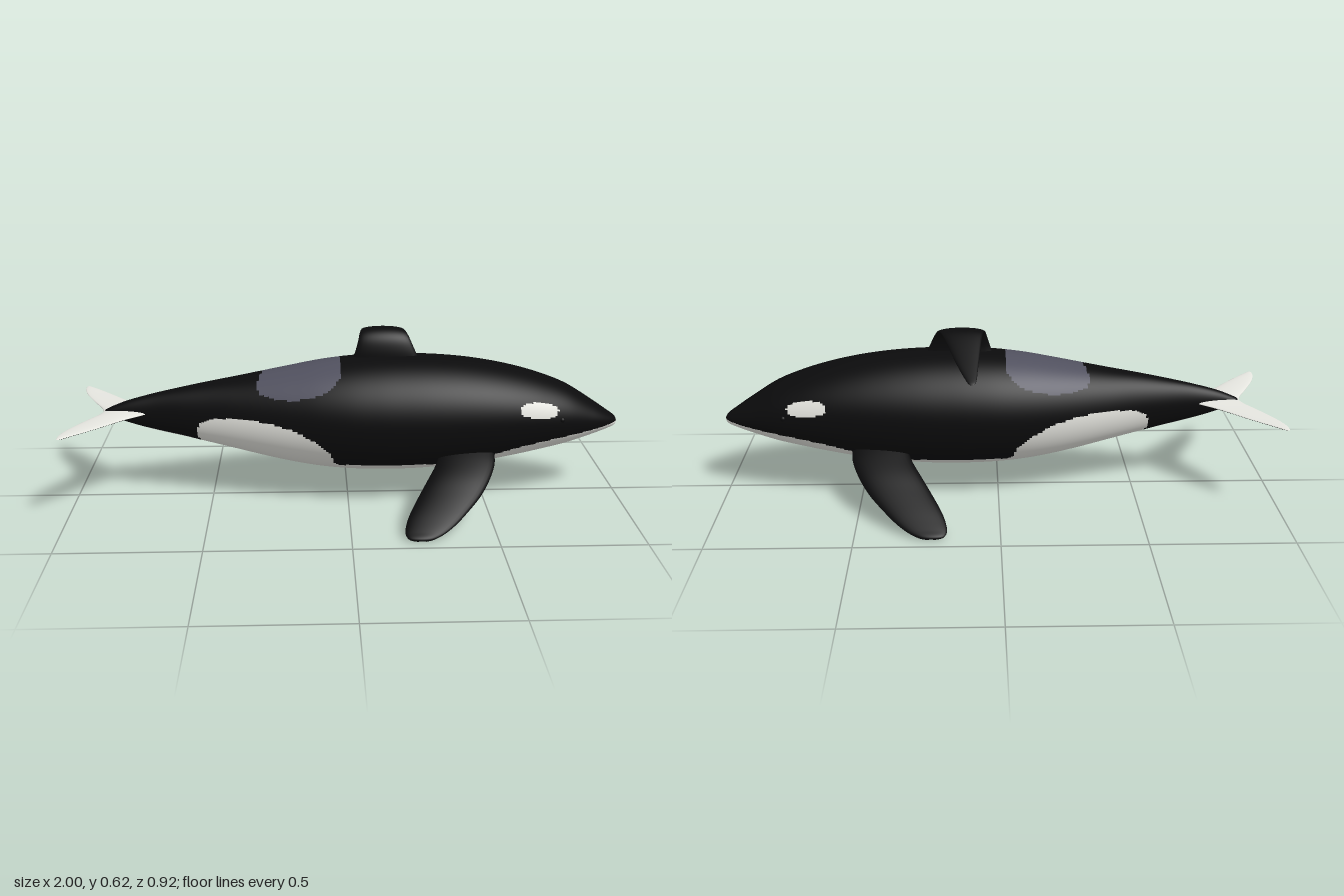
import * as THREE from 'three';

const paint = (name, color) => {
  const m = new THREE.MeshStandardMaterial({ color });
  m.name = name;
  return m;
};

// Smoothly interpolates rows of numbers; t runs over the row index
function sampler(rows) {
  const interp = new THREE.CubicInterpolant(rows.map((_, i) => i), rows.flat(), rows[0].length);
  return t => Array.from(interp.evaluate(t));
}

// Closed tube of rings; pick(centre, normal) returns a material index for each quad
function loft(name, rows, cols, point, materials, pick) {
  const pts = [], faces = materials.map(() => []);
  for (let i = 0; i <= rows; i++) {
    for (let j = 0; j < cols; j++) pts.push(point(i / rows, (j / cols) * Math.PI * 2));
  }
  const normal = new THREE.Vector3(), edge = new THREE.Vector3(), mid = new THREE.Vector3();
  for (let i = 0; i < rows; i++) {
    for (let j = 0; j < cols; j++) {
      const k = (j + 1) % cols;
      const a = i * cols + j, b = i * cols + k, c = a + cols, d = b + cols;
      mid.copy(pts[a]).add(pts[b]).add(pts[c]).add(pts[d]).multiplyScalar(0.25);
      normal.subVectors(pts[b], pts[c]).cross(edge.subVectors(pts[d], pts[a])).negate();
      // diagonals (b - c) x (d - a) point inward, hence the negate
      faces[pick ? pick(mid, normal) : 0].push(a, b, c, b, d, c);
    }
  }
  const geo = new THREE.BufferGeometry().setFromPoints(pts);
  geo.setIndex(faces.flat());
  let start = 0;
  faces.forEach((f, m) => {
    geo.addGroup(start, f.length, m);
    start += f.length;
  });
  geo.computeVertexNormals();
  const mesh = new THREE.Mesh(geo, materials);
  mesh.name = name;
  return mesh;
}

// Fin rows: [z, y, trailing x, leading x, half thickness]; side mirrors in z
function fin(name, rows, side, materials, pick) {
  const at = sampler(rows), last = rows.length - 1;
  return loft(name, last * 6, 28, (u, a) => {
    const t = u * last;
    const [z, y, back, front, thick] = at(t);
    const p = at(Math.max(0, t - 0.05)), q = at(Math.min(last, t + 0.05));
    const dz = (q[0] - p[0]) * side, dy = q[1] - p[1], len = Math.hypot(dz, dy) || 1;
    const h = Math.sin(a) * thick;
    return new THREE.Vector3(
      (front + back) / 2 + Math.cos(a) * (front - back) / 2,
      y + h * dz / len,
      z * side - h * dy / len);
  }, materials, pick);
}

function inside(poly, x, y) {
  let hit = false;
  poly.forEach(([x1, y1], i) => {
    const [x2, y2] = poly[(i + 1) % poly.length];
    if ((y1 > y) !== (y2 > y) && x < x1 + (y - y1) / (y2 - y1) * (x2 - x1)) hit = !hit;
  });
  return hit;
}

// Body stations: [x, top y, bottom y, half width]
const BODY = [
  [-0.885, 0.332, 0.332, 0], [-0.87, 0.345, 0.321, 0.014], [-0.8, 0.373, 0.292, 0.027],
  [-0.7, 0.4, 0.262, 0.042], [-0.6, 0.422, 0.238, 0.063], [-0.5, 0.442, 0.213, 0.086],
  [-0.4, 0.46, 0.188, 0.113], [-0.3, 0.479, 0.163, 0.14], [-0.2, 0.498, 0.141, 0.165],
  [-0.1, 0.516, 0.124, 0.186], [0, 0.528, 0.114, 0.2], [0.1, 0.534, 0.11, 0.206],
  [0.2, 0.535, 0.11, 0.207], [0.3, 0.532, 0.115, 0.205], [0.4, 0.524, 0.125, 0.199],
  [0.5, 0.51, 0.138, 0.189], [0.6, 0.489, 0.156, 0.174], [0.7, 0.46, 0.177, 0.153],
  [0.8, 0.42, 0.2, 0.125], [0.89, 0.364, 0.228, 0.088], [0.95, 0.323, 0.248, 0.055],
  [0.985, 0.298, 0.261, 0.026], [0.997, 0.278, 0.276, 0],
];

// Side outlines of the markings, [x, y]
const BELLY = [
  [-0.9, 0], [-0.9, 0.33], [-0.83, 0.305], [-0.75, 0.279], [-0.65, 0.257], [-0.58, 0.242], [-0.53, 0.225],
  [-0.545, 0.25], [-0.545, 0.285], [-0.53, 0.312], [-0.49, 0.328], [-0.42, 0.336], [-0.35, 0.335],
  [-0.28, 0.328], [-0.2, 0.308], [-0.13, 0.272], [-0.08, 0.235], [-0.06, 0.205], [-0.055, 0.175],
  [-0.03, 0.16], [0.3, 0.16], [0.45, 0.172], [0.53, 0.2], [0.6, 0.222], [0.7, 0.243],
  [0.8, 0.258], [0.9, 0.27], [1.01, 0.284], [1.01, 0],
];
const SADDLE = [
  [-0.29, 0.6], [-0.295, 0.49], [-0.32, 0.47], [-0.328, 0.445], [-0.315, 0.423], [-0.27, 0.412],
  [-0.2, 0.41], [-0.12, 0.425], [-0.065, 0.45], [-0.03, 0.485], [-0.025, 0.51], [-0.03, 0.6],
];

const FLIPPER = [
  [0.12, 0.213, 0.33, 0.525, 0.02], [0.18, 0.18, 0.31, 0.52, 0.022], [0.24, 0.144, 0.275, 0.495, 0.023],
  [0.3, 0.104, 0.237, 0.455, 0.022], [0.36, 0.067, 0.203, 0.4, 0.018], [0.4, 0.042, 0.187, 0.358, 0.015],
  [0.43, 0.024, 0.183, 0.318, 0.012], [0.45, 0.013, 0.195, 0.28, 0.009], [0.457, 0.008, 0.225, 0.25, 0.003],
];
const FLUKE = [
  [0, 0.33, -0.888, -0.71, 0.012], [0.04, 0.331, -0.9, -0.735, 0.01], [0.1, 0.332, -0.932, -0.8, 0.007],
  [0.19, 0.333, -0.976, -0.88, 0.005], [0.25, 0.334, -0.996, -0.937, 0.004],
  [0.285, 0.334, -1, -0.972, 0.003], [0.303, 0.334, -0.998, -0.99, 0.001],
];
const DORSAL = [
  [0, 0.5, 0.01, 0.27, 0.02], [0, 0.55, 0.028, 0.245, 0.018], [0.009, 0.588, 0.039, 0.228, 0.017],
  [0.028, 0.61, 0.045, 0.216, 0.015], [0.055, 0.617, 0.052, 0.205, 0.012], [0.095, 0.604, 0.058, 0.188, 0.011],
  [0.2, 0.55, 0.07, 0.147, 0.007], [0.27, 0.512, 0.078, 0.113, 0.004], [0.288, 0.502, 0.088, 0.098, 0.001],
];

export function createModel() {
  const black = paint('black skin', 0x0b0b0c);
  const white = paint('white skin', 0xe6e6e0);
  const grey = paint('grey saddle', 0x50505e);
  const model = new THREE.Group();
  model.name = 'whale';

  // Body with white belly, flank and eye patches and a grey saddle
  const at = sampler(BODY), last = BODY.length - 1;
  model.add(loft('body', last * 11, 144, (u, a) => {
    const [x, top, bottom, width] = at(u * last);
    return new THREE.Vector3(x, (top + bottom) / 2 + Math.cos(a) * (top - bottom) / 2, Math.sin(a) * width);
  }, [black, white, grey], ({ x, y }) => {
    const dx = x - 0.678, dy = y - 0.366 + 0.1 * dx;
    if ((dx / 0.073) ** 2 + (dy / 0.028) ** 2 < 1 || inside(BELLY, x, y)) return 1;
    return inside(SADDLE, x, y) ? 2 : 0;
  }));

  // Paired flippers, flukes with white undersides, and eyes
  for (const [label, side] of [['left', -1], ['right', 1]]) {
    model.add(fin(label + 'Flipper', FLIPPER, side, [black]));
    model.add(fin(label + 'Fluke', FLUKE, side, [black, white], (p, n) => (n.y < 0 ? 1 : 0)));
    const eye = new THREE.Mesh(new THREE.SphereGeometry(0.01, 16, 12), black);
    eye.name = label + 'Eye';
    eye.position.set(0.765, 0.325, side * 0.131);
    model.add(eye);
  }

  // Dorsal fin folded over to one side
  model.add(fin('dorsalFin', DORSAL, -1, [black]));
  return model;
}
